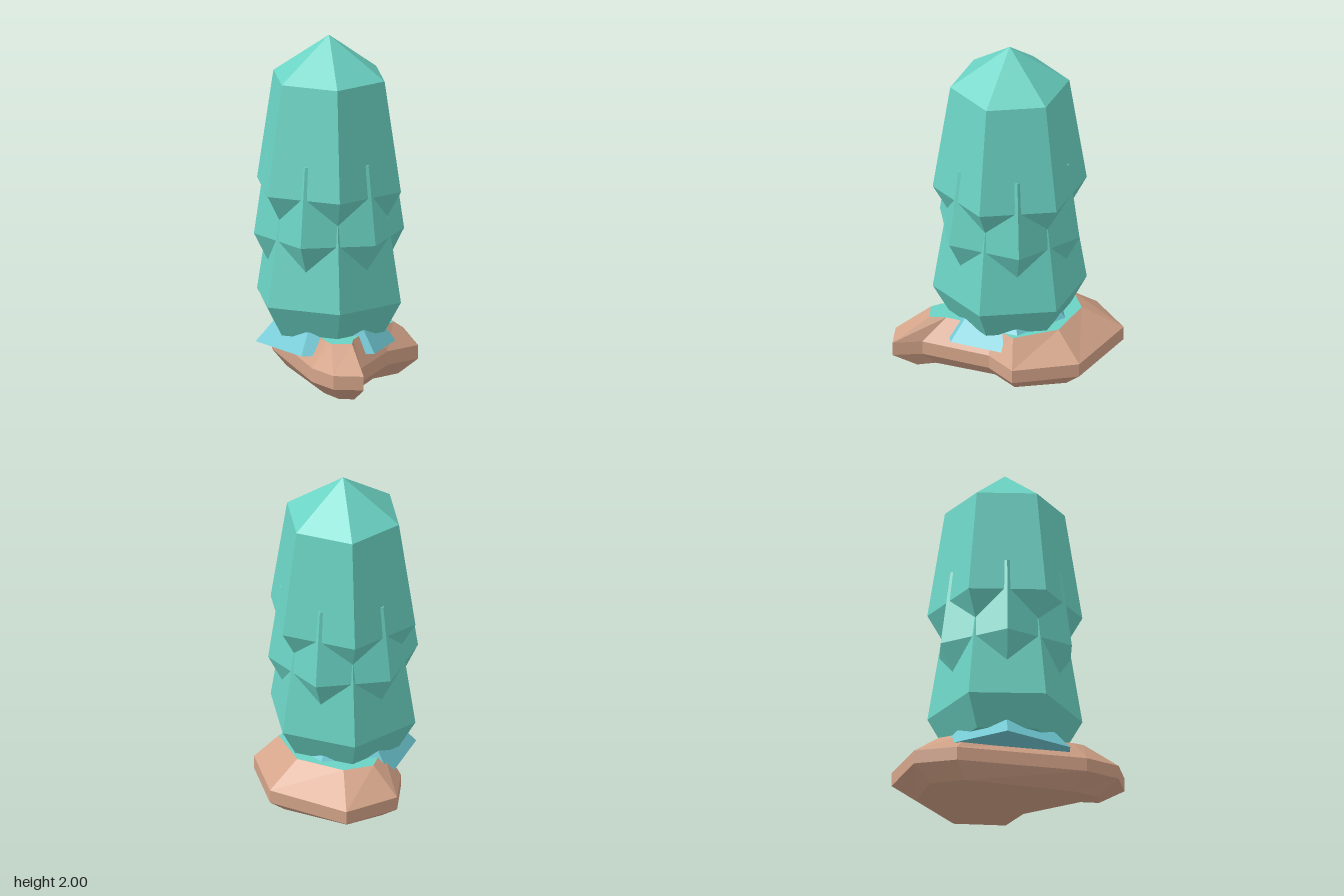
import * as THREE from 'three';

const teal = new THREE.MeshStandardMaterial({ color: 0x6bd3c4 });
teal.name = 'teal foliage';
const blue = new THREE.MeshStandardMaterial({ color: 0x70c9d4 });
blue.name = 'blue skirt';
const brown = new THREE.MeshStandardMaterial({ color: 0xd4a489 });
brown.name = 'tan stone';

// Faceted solid through matching rings [{ y, pts: [[x, z], ...] }], bottom to top, running +x to +z
function loft(rings, capBottom = true, capTop = true) {
  const pos = [];
  const tri = (...vs) => vs.forEach((v) => pos.push(...v));
  const at = (ring, i) => {
    const [x, z] = ring.pts[i % ring.pts.length];
    return [x, ring.y, z];
  };
  for (let r = 0; r + 1 < rings.length; r++) {
    for (let i = 0; i < rings[r].pts.length; i++) {
      const a = at(rings[r], i), b = at(rings[r], i + 1);
      const c = at(rings[r + 1], i), d = at(rings[r + 1], i + 1);
      tri(a, c, b);
      tri(b, c, d);
    }
  }
  const cap = (ring, up) => {
    const contour = ring.pts.map(([x, z]) => new THREE.Vector2(x, z));
    for (const [i, j, k] of THREE.ShapeUtils.triangulateShape(contour, [])) {
      const a = at(ring, i), b = at(ring, j), c = at(ring, k);
      const ny = (b[2] - a[2]) * (c[0] - a[0]) - (b[0] - a[0]) * (c[2] - a[2]);
      if ((ny > 0) === up) tri(a, b, c);
      else tri(a, c, b);
    }
  };
  if (capBottom) cap(rings[0], false);
  if (capTop) cap(rings[rings.length - 1], true);
  const geo = new THREE.BufferGeometry();
  geo.setAttribute('position', new THREE.Float32BufferAttribute(pos, 3));
  geo.computeVertexNormals();
  return geo;
}

// Six-sided crystal from a profile of [radius, height]; turned ones have corners on the z axis
function hexTier(profile, turned) {
  const start = turned ? Math.PI / 6 : 0;
  return loft(profile.map(([r, y]) => ({
    y,
    pts: Array.from({ length: 6 }, (_, i) => {
      const t = start + (i * Math.PI) / 3;
      return [r * Math.cos(t), r * Math.sin(t)];
    }),
  })));
}

export function createModel() {
  const model = new THREE.Group();
  model.name = 'crystalTree';
  const add = (name, geometry, material) => {
    const mesh = new THREE.Mesh(geometry, material);
    mesh.name = name;
    model.add(mesh);
  };

  // Interlocking foliage tiers, every second one turned by 30 degrees
  add('topFoliage', hexTier([[0.34, 0.94], [0.44, 1.12], [0.34, 1.76], [0.001, 2]], false), teal);
  add('middleFoliage', hexTier([[0.33, 0.65], [0.43, 0.85], [0.364, 1.31]], true), teal);
  add('lowerFoliage', hexTier([[0.34, 0.29], [0.44, 0.47], [0.36, 0.97]], false), teal);

  // Flared skirt below the foliage
  add('skirt', hexTier([[0.42, 0.215], [0.32, 0.33]], true), blue);

  // Bent stone base: foot, widest outline and top edge
  const foot = [[-0.2, -0.46], [0.19, -0.43], [0.35, -0.18], [0.26, -0.02], [0.27, 0.34],
    [0.33, 0.43], [0.25, 0.46], [0.12, 0.37], [-0.3, -0.1], [-0.35, -0.29]];
  const rim = [[-0.25, -0.595], [0.24, -0.53], [0.46, -0.21], [0.35, -0.02], [0.35, 0.39],
    [0.43, 0.54], [0.265, 0.59], [0.09, 0.48], [-0.39, -0.1], [-0.46, -0.34]];
  const crown = [[-0.15, -0.38], [0.14, -0.36], [0.33, -0.16], [0.26, 0], [0.26, 0.28],
    [0.29, 0.37], [0.18, 0.41], [0.13, 0.37], [-0.27, -0.08], [-0.29, -0.27]];
  add('stoneBase', loft([
    { y: 0, pts: foot }, { y: 0.09, pts: rim }, { y: 0.17, pts: rim }, { y: 0.305, pts: crown },
  ], true, false), brown);

  // Flat growth covering the top of the stone
  add('stoneTop', loft([{ y: 0.305, pts: crown }], false, true), teal);

  return model;
}
